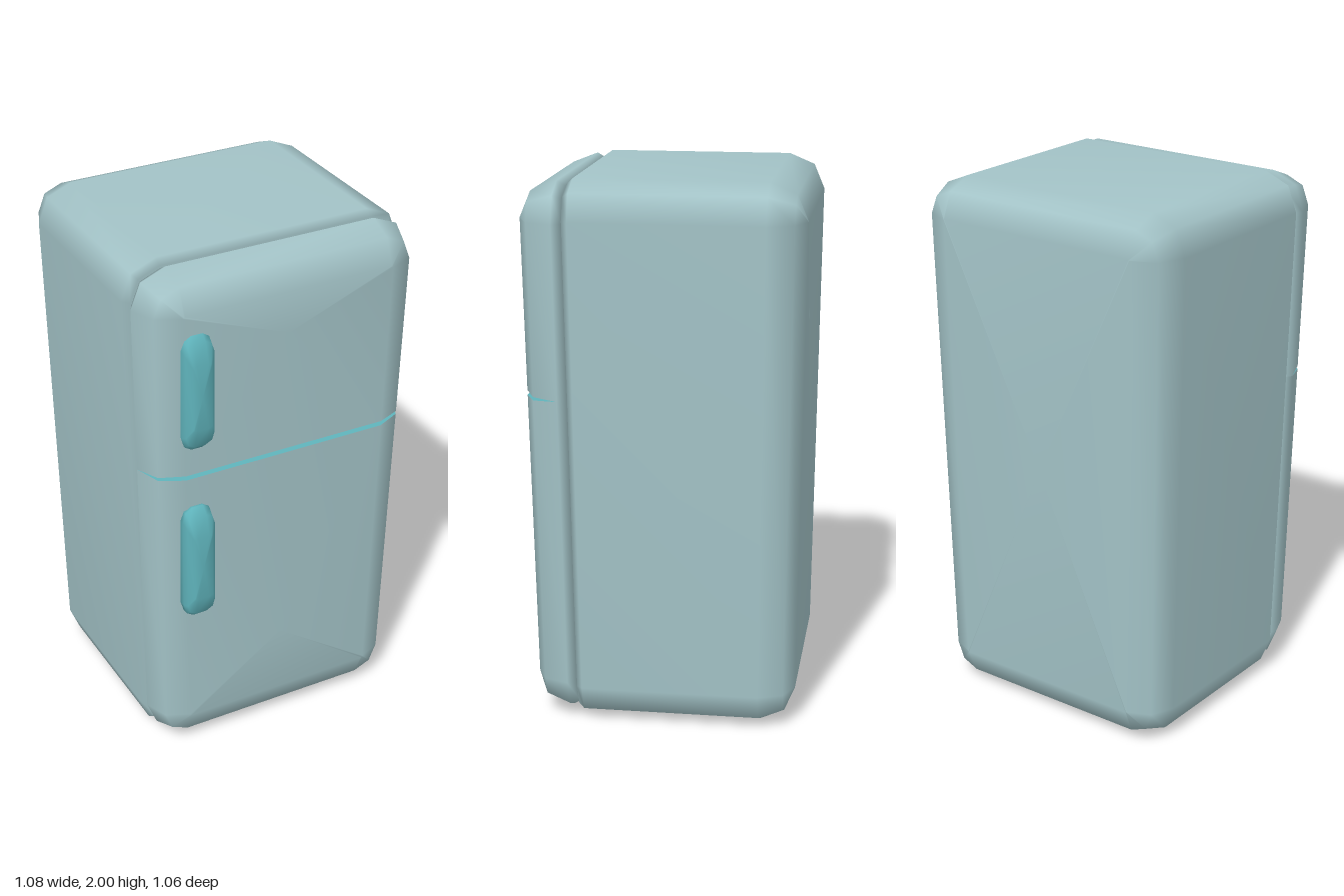
import * as THREE from 'three';

const shell = new THREE.MeshStandardMaterial({ color: 0xa3c3c7 });
const trim = new THREE.MeshStandardMaterial({ color: 0x5fb3bb });
const seamMaterial = new THREE.MeshStandardMaterial({ color: 0x5fb3bb, side: THREE.DoubleSide });

const SEAM_Y = 1.224;

// The cabinet narrows slightly towards the floor.
function taper([x, y, z]) {
  const t = (1.865 - y) / 1.73;
  return [x * (1 - 0.068 * t), y, z * (1 - 0.056 * t) - 0.009 * t];
}

// Counter-clockwise rectangle; corners run bottom right, top right, top left, bottom left.
// Each radius is [rx, ry]; a zero radius gives one square corner point.
function outline(x0, x1, y0, y1, radii, z, start = 0) {
  const points = [];
  for (let n = 0; n < 4; n++) {
    const i = (start + n) % 4;
    const [rx, ry] = radii[i];
    const right = i < 2, top = i === 1 || i === 2;
    const cx = right ? x1 - rx : x0 + rx;
    const cy = top ? y1 - ry : y0 + ry;
    const steps = rx > 0 ? 2 : 0;
    for (let s = 0; s <= steps; s++) {
      const a = (i - 1) * Math.PI / 2 + s * Math.PI / 4;
      points.push([cx + rx * Math.cos(a), cy + ry * Math.sin(a), z]);
    }
  }
  return points;
}

// Skin rings ordered from back to front, with optional end caps.
function loft(rings, { closed = true, caps = true } = {}) {
  const n = rings[0].length, index = [], pos = rings.flat();
  const sides = closed ? n : n - 1;
  for (let r = 0; r < rings.length - 1; r++) {
    for (let j = 0; j < sides; j++) {
      const k = (j + 1) % n;
      const a = r * n + j, d = r * n + k, b = a + n, c = d + n;
      index.push(a, d, c, a, c, b);
    }
  }
  if (caps) {
    for (const front of [false, true]) {
      const ring = front ? rings[rings.length - 1] : rings[0];
      const base = front ? (rings.length - 1) * n : 0;
      const centre = [0, 1, 2].map(q => ring.reduce((sum, p) => sum + p[q], 0) / n);
      pos.push(centre);
      const m = pos.length - 1;
      for (let j = 0; j < n; j++) {
        const a = base + j, b = base + (j + 1) % n;
        if (front) index.push(m, a, b);
        else index.push(m, b, a);
      }
    }
  }
  const g = new THREE.BufferGeometry();
  g.setAttribute('position', new THREE.Float32BufferAttribute(pos.flat(), 3));
  g.setIndex(index);
  g.computeVertexNormals();
  return g;
}

function addMesh(group, name, geometry, material) {
  const mesh = new THREE.Mesh(geometry, material);
  mesh.name = name;
  group.add(mesh);
}

const cornerRadius = inset => {
  const r = Math.max(0.135 - inset, 0.003);
  return [r, r];
};

// Cabinet: [z, inset] steps round off the back and bevel the front rim.
function cabinetGeometry() {
  const levels = [[-0.53, 0.132], [-0.49, 0.04], [-0.395, 0], [0.292, 0], [0.315, 0.022]];
  return loft(levels.map(([z, i]) => {
    const r = cornerRadius(i);
    return outline(-0.542 + i, 0.542 - i, i, 2 - i, [r, r, r, r], z).map(taper);
  }));
}

// Doors: rounded on the outer end, square along the shared seam.
const doorLevels = [[0.315, 0.02], [0.35, 0], [0.445, 0.037], [0.485, 0.128]];
const DOOR_HALF = 0.535;
const seamOpening = z => Math.max(0, z - 0.35) * 0.065;

function doorGeometry(upper) {
  return loft(doorLevels.map(([z, i]) => {
    const r = cornerRadius(i), sq = [0, 0];
    const y0 = upper ? SEAM_Y + seamOpening(z) : 0.015 + i;
    const y1 = upper ? 1.99 - i : SEAM_Y - seamOpening(z);
    const radii = upper ? [sq, r, r, sq] : [r, sq, sq, r];
    return outline(-DOOR_HALF + i, DOOR_HALF - i, y0, y1, radii, z, upper ? 0 : 2).map(taper);
  }), { closed: false });
}

// Sloping wall of the groove between the doors.
function seamGeometry(sign) {
  return loft(doorLevels.map(([z, i]) => {
    const w = DOOR_HALF - i, y = SEAM_Y + sign * seamOpening(z);
    return [[w, y, z], [-w, y, z]].map(taper);
  }), { closed: false, caps: false });
}

// Handle: upright bar with chamfered corners and sloping ends.
function handleGeometry(y0, y1) {
  const levels = [[0.44, 0, 0], [0.478, 0, 0], [0.506, 0.003, 0.025], [0.527, 0.022, 0.1]];
  return loft(levels.map(([z, ix, iy]) => {
    const r = [0.036 - ix, Math.max(0.055 - iy * 0.5, 0.008)];
    return outline(-0.415 + ix, -0.3 - ix, y0 + iy, y1 - iy, [r, r, r, r], z);
  }));
}

export function createModel() {
  const model = new THREE.Group();
  model.name = 'refrigerator';
  addMesh(model, 'cabinet', cabinetGeometry(), shell);
  addMesh(model, 'freezerDoor', doorGeometry(true), shell);
  addMesh(model, 'fridgeDoor', doorGeometry(false), shell);
  addMesh(model, 'seamUpperWall', seamGeometry(1), seamMaterial);
  addMesh(model, 'seamLowerWall', seamGeometry(-1), seamMaterial);
  addMesh(model, 'freezerHandle', handleGeometry(1.34, 1.79), trim);
  addMesh(model, 'fridgeHandle', handleGeometry(0.635, 1.1), trim);
  return model;
}
